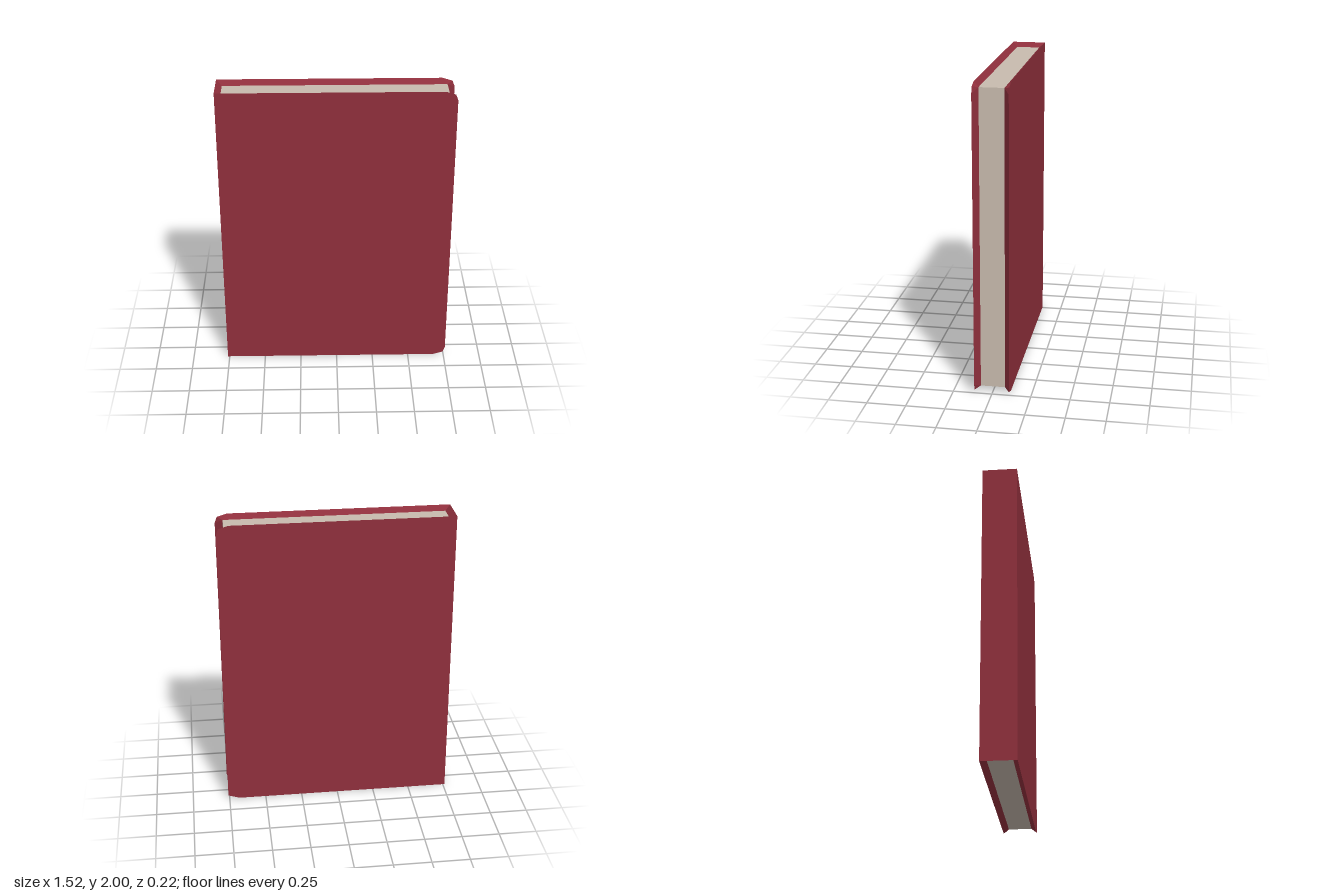
import * as THREE from 'three';

const Z_OUT = 0.112, Z_IN = 0.078;              // cover face and page block half depths
const SPINE = -0.762, PAGE_L = -0.725, PAGE_R = 0.71, PAGE_B = 0.035, PAGE_T = 1.97;

const coverMat = new THREE.MeshStandardMaterial({ color: 0x8f2f3c, flatShading: true, side: THREE.DoubleSide });
const pageMat = new THREE.MeshStandardMaterial({ color: 0xc8bbae, flatShading: true });

// Builds a faceted mesh from polygons (arrays of [x, y, z] corners, fanned)
function facets(name, polygons) {
  const pos = [];
  for (const p of polygons)
    for (let i = 1; i < p.length - 1; i++) pos.push(...p[0], ...p[i], ...p[i + 1]);
  const geo = new THREE.BufferGeometry();
  geo.setAttribute('position', new THREE.Float32BufferAttribute(pos, 3));
  geo.computeVertexNormals();
  const mesh = new THREE.Mesh(geo, coverMat);
  mesh.name = name;
  return mesh;
}

// A cover board: flat outside, edges bevelled inward to the page block
function cover(name, side, bottomCorner) {
  const topCorner = [[0.76, 1.94], [0.745, 1.98], [0.68, 2]];
  const outline = [[SPINE, 0], ...bottomCorner, ...topCorner, [SPINE, 2]];
  const outer = outline.map(([x, y]) => [x, y, side * Z_OUT]);
  const inner = outline.map(([x, y]) => [x < 0 ? PAGE_L : PAGE_R, y < 1 ? PAGE_B : PAGE_T, side * Z_IN]);
  const polygons = [outer];
  for (let i = 0; i < outer.length - 1; i++)
    polygons.push([inner[i], inner[i + 1], outer[i + 1], outer[i]]);
  if (side < 0) polygons.forEach(p => p.reverse());
  return facets(name, polygons);
}

export function createModel() {
  const book = new THREE.Group();
  book.name = 'book';

  // Front and back boards, with slightly different lower corners
  book.add(cover('frontCover', 1, [[0.68, 0], [0.745, 0.02], [0.76, 0.06]]));
  book.add(cover('backCover', -1, [[0.68, 0], [0.758, 0.025]]));

  // Spine with sloping ends
  const end = (y, yIn) => [
    [SPINE, y, -Z_OUT], [SPINE, y, Z_OUT], [PAGE_L, yIn, Z_IN], [PAGE_L, yIn, -Z_IN],
  ];
  book.add(facets('spine', [
    [[SPINE, 0, -Z_OUT], [SPINE, 0, Z_OUT], [SPINE, 2, Z_OUT], [SPINE, 2, -Z_OUT]],
    end(2, PAGE_T),
    end(0, PAGE_B).reverse(),
  ]));

  // Page block
  const pages = new THREE.Mesh(
    new THREE.BoxGeometry(PAGE_R - PAGE_L, PAGE_T - PAGE_B, 2 * Z_IN), pageMat);
  pages.position.set((PAGE_L + PAGE_R) / 2, (PAGE_T + PAGE_B) / 2, 0);
  pages.name = 'pages';
  book.add(pages);

  return book;
}
